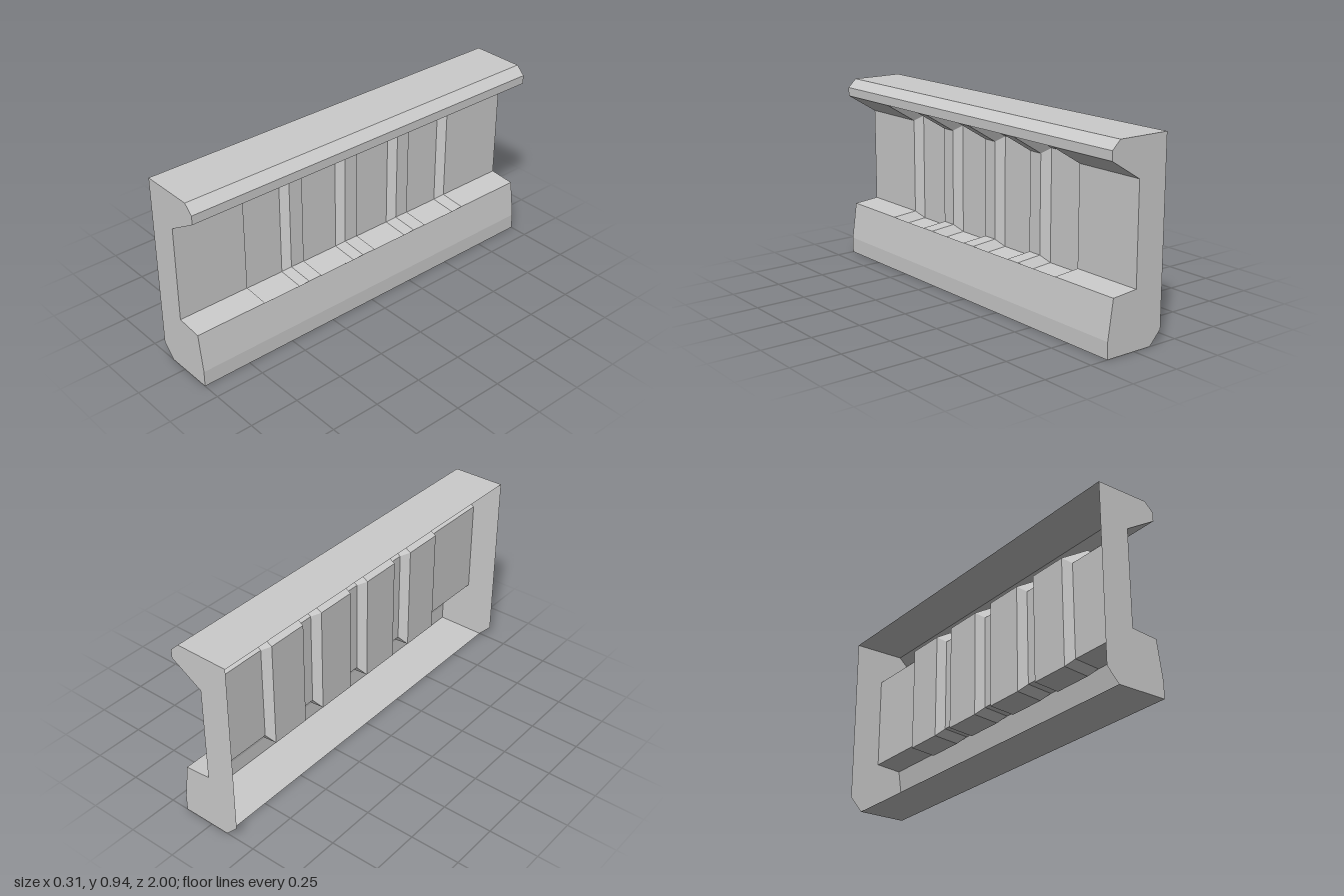
import * as THREE from 'three';

const material = new THREE.MeshStandardMaterial({ color: 0xcccccc, flatShading: true, side: THREE.DoubleSide });

// Cross-section corners (x, y), from the back of the top, round the front, to the underside
const topAndLip = [[-0.157, 0.942], [0.112, 0.942], [0.156, 0.9], [0.156, 0.856]];
const channel = [[0.156, 0.856], [-0.003, 0.76], [-0.003, 0.28], [0.129, 0.268]];
const sillAndBase = [[0.129, 0.268], [0.156, 0.08], [0.156, 0], [-0.095, 0]];
const backChamfer = [-0.157, 0.066];

// Sheet through equal-length sections, each { z, points }
function loft(name, sections) {
  const pos = [];
  for (let i = 0; i + 1 < sections.length; i++) {
    const a = sections[i], b = sections[i + 1];
    for (let j = 0; j + 1 < a.points.length; j++) {
      const p = [...a.points[j], a.z], q = [...a.points[j + 1], a.z];
      const r = [...b.points[j + 1], b.z], s = [...b.points[j], b.z];
      pos.push(...p, ...r, ...q, ...p, ...s, ...r);
    }
  }
  const geometry = new THREE.BufferGeometry();
  geometry.setAttribute('position', new THREE.Float32BufferAttribute(pos, 3));
  geometry.computeVertexNormals();
  const mesh = new THREE.Mesh(geometry, material);
  mesh.name = name;
  return mesh;
}

// Channel section, pushed inwards by a fraction of the groove depth
function channelSection(z, depth) {
  const up = [-0.042 * depth, 0.024 * depth], down = [-0.042 * depth, -0.038 * depth];
  const shift = [up, up, down, down];
  const moved = channel.map(([x, y], i) => [x + shift[i][0], y + shift[i][1]]);
  return { z, points: [channel[0], ...moved, channel[3]] };
}

export function createModel() {
  const group = new THREE.Group();
  group.name = 'channelPanel';

  // Straight outer skins, open at the back
  const straight = (name, points) => group.add(loft(name, [{ z: 1, points }, { z: -1, points }]));
  straight('topLip', topAndLip);
  straight('lowerSill', sillAndBase);

  // Channel wall with four bevelled grooves
  const sections = [channelSection(1, 0)];
  for (const centre of [0.501, 0.167, -0.167, -0.501]) {
    sections.push(
      channelSection(centre + 0.13, 0),
      channelSection(centre + 0.104, 1),
      channelSection(centre - 0.104, 1),
      channelSection(centre - 0.13, 0)
    );
  }
  sections.push(channelSection(-1, 0));
  group.add(loft('groovedChannel', sections));

  // End caps
  const outline = [...topAndLip, ...channel.slice(1), ...sillAndBase.slice(1), backChamfer];
  const shape = new THREE.Shape(outline.map(([x, y]) => new THREE.Vector2(x, y)));
  for (const side of [1, -1]) {
    const cap = new THREE.Mesh(new THREE.ShapeGeometry(shape), material);
    cap.name = side > 0 ? 'frontEndCap' : 'backEndCap';
    cap.position.z = side;
    group.add(cap);
  }
  return group;
}
